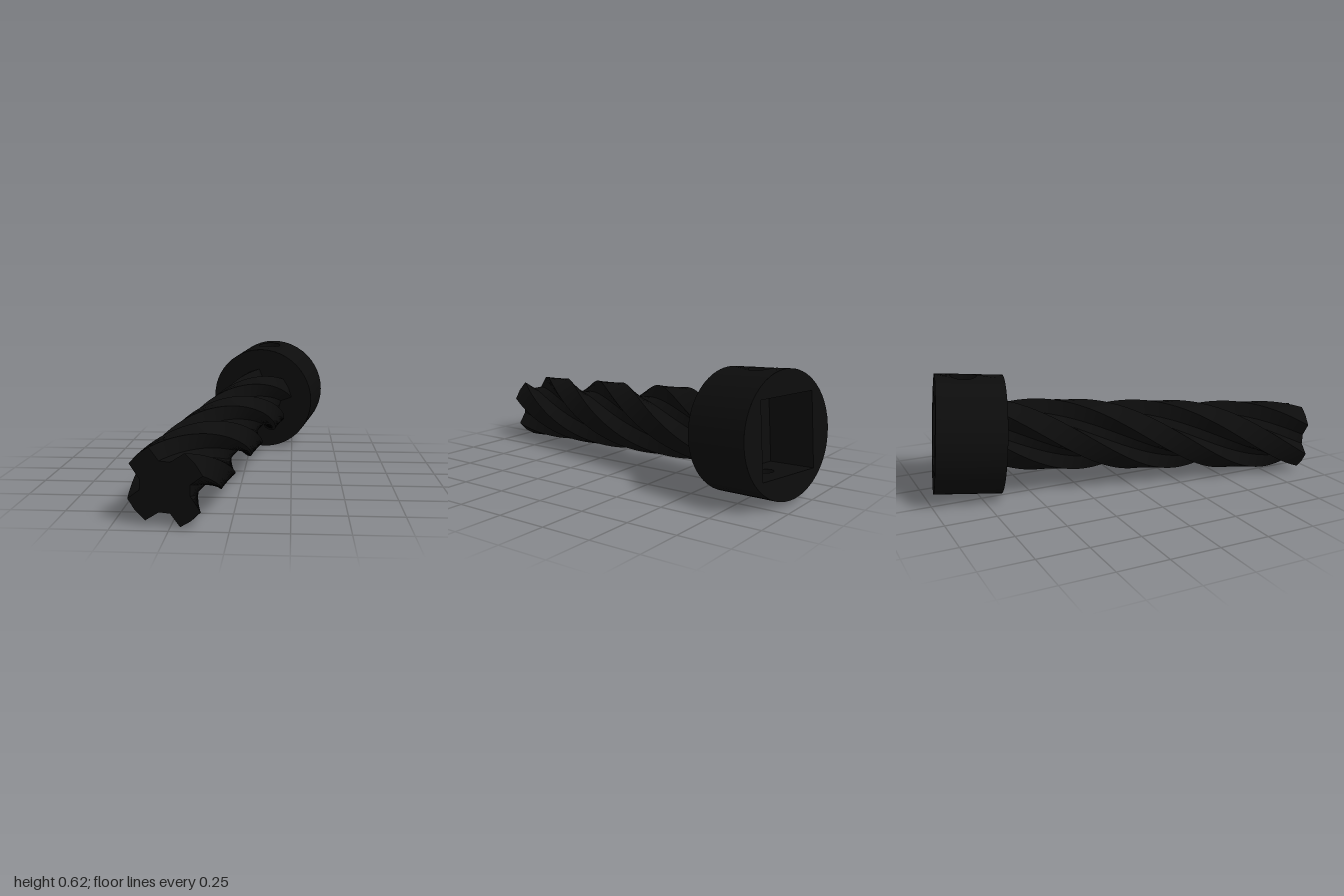
import * as THREE from 'three';
import { toCreasedNormals } from 'three/addons/utils/BufferGeometryUtils.js';

const R = 0.297, HEAD = 0.33;            // head radius and length
const HALF = 0.18, DEPTH = 0.25;         // square socket half width and depth
const STRIP = 0.09, HOLE_Z = 0.195;      // strip carrying the cross hole, hole distance from head front
const SHAFT_R = 0.18, CORE_R = 0.115, TWIST = THREE.MathUtils.degToRad(285);

export function createModel() {
  const model = new THREE.Group();
  const blackMetal = new THREE.MeshStandardMaterial({ color: 0x0c0c0c, side: THREE.DoubleSide });
  blackMetal.name = 'blackMetal';

  // Body frame: z runs along the axis from the head front to the shaft tip
  const base = new THREE.Vector3(0.07, 0.303, -0.612);
  const tip = new THREE.Vector3(-0.27, 0.18, 0.957);
  const length = base.distanceTo(tip);
  const zAxis = tip.clone().sub(base).normalize();
  const xAxis = new THREE.Vector3(0, 1, 0).cross(zAxis).normalize();
  const yAxis = zAxis.clone().cross(xAxis);
  const body = new THREE.Group();
  body.name = 'cutterBody';
  body.quaternion.setFromRotationMatrix(new THREE.Matrix4().makeBasis(xAxis, yAxis, zAxis));
  body.position.copy(base);
  model.add(body);

  const add = (name, geometry, parent = body) => {
    const mesh = new THREE.Mesh(geometry, blackMetal);
    mesh.name = name;
    parent.add(mesh);
    return mesh;
  };
  const onRound = (x) => Math.sqrt(R * R - x * x);
  const circlePath = (x, y, r, n) => new THREE.Path().setFromPoints(
    Array.from({ length: n }, (_, i) => {
      const a = (i / n) * Math.PI * 2;
      return new THREE.Vector2(x + r * Math.cos(a), y + r * Math.sin(a));
    }));

  // Four-lobed shaft section, extruded and twisted
  const outline = [];
  for (let i = 0; i < 4; i++) {
    for (const [deg, r] of [[20, SHAFT_R], [39, SHAFT_R * 0.985], [58.5, SHAFT_R], [75, CORE_R], [100, CORE_R]]) {
      const a = THREE.MathUtils.degToRad(deg + i * 90);
      outline.push(new THREE.Vector2(r * Math.cos(a), r * Math.sin(a)));
    }
  }
  let shaft = new THREE.ExtrudeGeometry(new THREE.Shape(outline), { depth: length, steps: 56, bevelEnabled: false });
  const p = shaft.attributes.position;
  const v = new THREE.Vector3(), zDir = new THREE.Vector3(0, 0, 1);
  for (let i = 0; i < p.count; i++) {
    v.fromBufferAttribute(p, i);
    v.applyAxisAngle(zDir, -TWIST * (1 - v.z / length));
    p.setXYZ(i, v.x, v.y, v.z);
  }
  shaft = toCreasedNormals(shaft, 0.5);
  add('flutedShaft', shaft);

  // Round sides of the head, leaving a strip at top and bottom for the cross hole
  const gap = Math.asin(STRIP / R);
  for (const start of [gap, Math.PI + gap]) {
    const side = new THREE.CylinderGeometry(R, R, HEAD, 16, 1, true, start, Math.PI - 2 * gap);
    add('headSide', side.rotateX(Math.PI / 2).translate(0, 0, -HEAD / 2));
  }

  // Front face and back face with the square socket opening
  add('headFrontFace', new THREE.CircleGeometry(R, 48));
  const ring = new THREE.Shape(circlePath(0, 0, R, 48).getPoints());
  const square = [[-1, -1], [1, -1], [1, 1], [-1, 1]].map(([x, y]) => new THREE.Vector2(x * HALF, y * HALF));
  ring.holes.push(new THREE.Path(square));
  add('headBackFace', new THREE.ShapeGeometry(ring).rotateY(Math.PI).translate(0, 0, -HEAD));

  // Socket floor and side walls
  add('socketFloor', new THREE.PlaneGeometry(HALF * 2, HALF * 2).rotateY(Math.PI).translate(0, 0, DEPTH - HEAD));
  for (const s of [-1, 1]) {
    add('socketSideWall', new THREE.PlaneGeometry(DEPTH, HALF * 2)
      .rotateY(-s * Math.PI / 2).translate(s * HALF, 0, DEPTH / 2 - HEAD));
  }

  // Top and bottom: outer strip, socket wall and bore of the cross hole
  for (const [name, turn, outer] of [['top', 0, 0.065], ['bottom', Math.PI, 0.042]]) {
    const part = new THREE.Group();
    part.name = name + 'HoleSide';
    part.rotation.z = turn;
    body.add(part);

    const edge = [];
    for (let i = 0; i <= 8; i++) edge.push(new THREE.Vector2(-STRIP + (i / 8) * 2 * STRIP, 0));
    for (let i = 8; i >= 0; i--) edge.push(new THREE.Vector2(-STRIP + (i / 8) * 2 * STRIP, HEAD));
    const stripShape = new THREE.Shape(edge);
    stripShape.holes.push(circlePath(0, HOLE_Z, outer, 16));
    const strip = new THREE.ShapeGeometry(stripShape).rotateX(-Math.PI / 2);
    const sp = strip.attributes.position;
    for (let i = 0; i < sp.count; i++) sp.setY(i, onRound(sp.getX(i)));
    strip.computeVertexNormals();
    add('headStrip', strip, part);

    const wallShape = new THREE.Shape([[-HALF, HEAD - DEPTH], [HALF, HEAD - DEPTH], [HALF, HEAD], [-HALF, HEAD]]
      .map(([x, y]) => new THREE.Vector2(x, y)));
    wallShape.holes.push(circlePath(0, HOLE_Z, 0.04, 16));
    add('socketWall', new THREE.ShapeGeometry(wallShape).rotateX(-Math.PI / 2).translate(0, HALF, 0), part);

    const bore = new THREE.CylinderGeometry(outer, 0.04, 1, 16, 1, true);
    const bp = bore.attributes.position;
    for (let i = 0; i < bp.count; i++) bp.setY(i, bp.getY(i) > 0 ? onRound(bp.getX(i)) : HALF);
    add('crossHoleBore', bore.translate(0, 0, -HOLE_Z), part);
  }
  return model;
}
